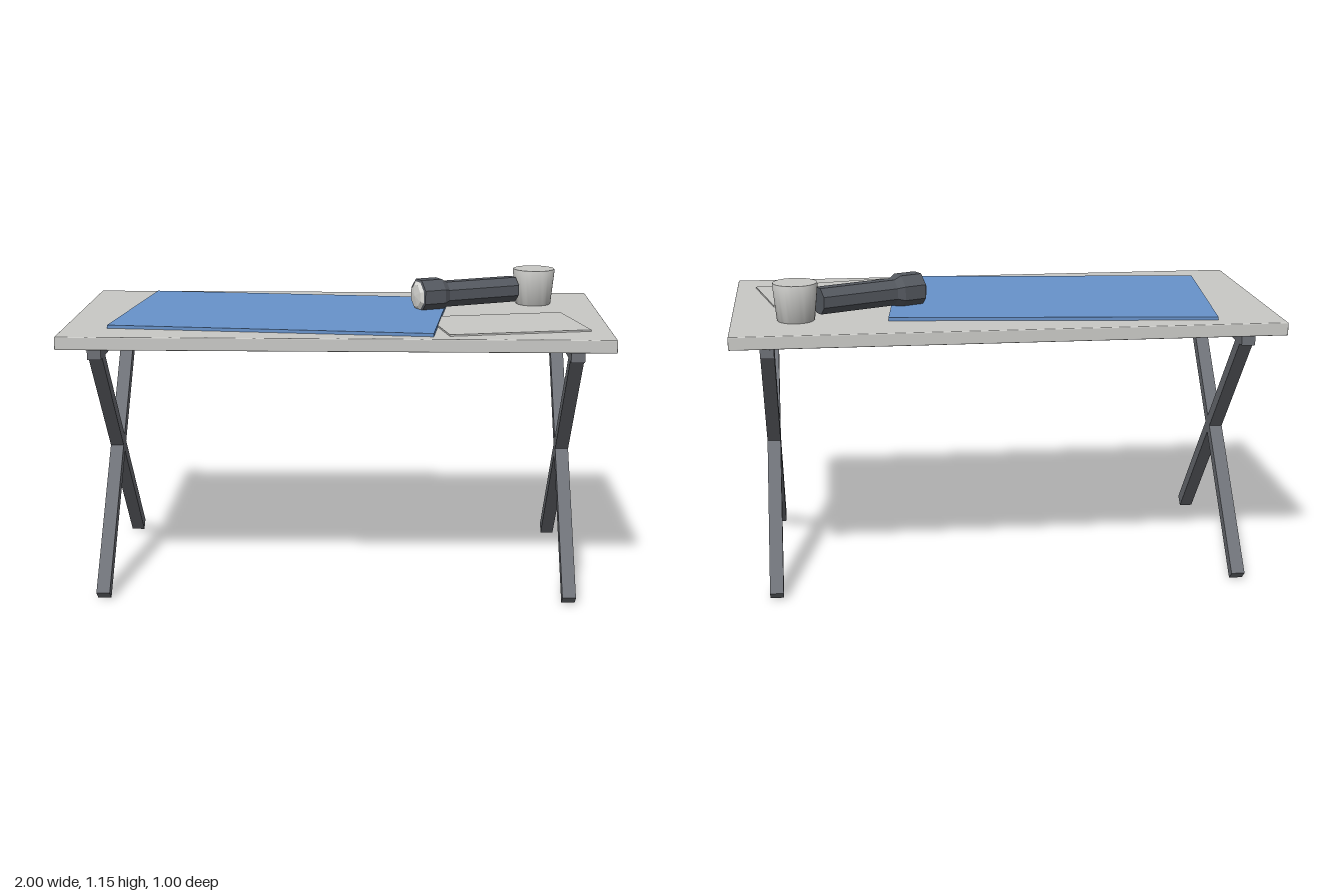
import * as THREE from 'three';
import { RoundedBoxGeometry } from 'three/addons/geometries/RoundedBoxGeometry.js';
import { toCreasedNormals } from 'three/addons/utils/BufferGeometryUtils.js';

function material(name, color) {
  const m = new THREE.MeshStandardMaterial({ color });
  m.name = name;
  return m;
}

function addMesh(parent, name, geometry, mat, x = 0, y = 0, z = 0) {
  const mesh = new THREE.Mesh(geometry, mat);
  mesh.name = name;
  mesh.position.set(x, y, z);
  parent.add(mesh);
  return mesh;
}

function lathe(points, segments, phiStart = 0) {
  return new THREE.LatheGeometry(points.map(([r, y]) => new THREE.Vector2(r, y)), segments, phiStart);
}

export function createModel() {
  const model = new THREE.Group();
  model.name = 'foldingTable';
  const pale = material('pale grey', 0xc9c9c6);
  const steel = material('steel grey', 0x6e7177);
  const dark = material('dark grey', 0x54585f);
  const blue = material('mat blue', 0x6893cb);
  const glass = material('lens white', 0xdcdcd8);

  // Tabletop
  const top = 1.016;
  addMesh(model, 'tabletop', new RoundedBoxGeometry(2, 0.048, 1, 2, 0.004), pale, 0, top - 0.024, 0);

  // Crossed legs with a rail under the top, at each end
  const legLength = 1.287, legAngle = Math.atan2(0.433, 0.476);
  for (const side of [-1, 1]) {
    const frame = new THREE.Group();
    frame.name = side > 0 ? 'leftLegFrame' : 'rightLegFrame';
    frame.position.x = side * 0.868;
    model.add(frame);
    addMesh(frame, 'topRail', new THREE.BoxGeometry(0.05, 0.046, 0.9), steel, 0, 0.946, 0);
    for (const lean of [-1, 1]) {
      const leg = addMesh(frame, lean > 0 ? 'legLeaningForward' : 'legLeaningBack',
        new THREE.BoxGeometry(0.05, legLength, 0.046), steel, 0, 0.494, 0);
      leg.rotation.x = lean * legAngle;
    }
  }

  // Desk mat, and the paper tucked under its edge
  const mat = addMesh(model, 'deskMat', new THREE.BoxGeometry(1.197, 0.012, 0.764), blue, -0.2025, top + 0.006, 0.0125);
  mat.rotation.y = -0.105;
  const paper = addMesh(model, 'paper', new THREE.BoxGeometry(0.527, 0.006, 0.363), pale, 0.63, top + 0.003, 0.2125);
  paper.rotation.y = 0.21;

  // Cup: tapered solid with a softened rim
  const cup = lathe([[0, 0], [0.067, 0], [0.069, 0.003], [0.082, 0.133], [0.08, 0.139], [0, 0.139]], 40);
  addMesh(model, 'cup', toCreasedNormals(cup, 0.6), pale, 0.765, top, -0.25);

  // Torch: eight-sided, lying with its lens towards the mat
  const torch = new THREE.Group();
  torch.name = 'torch';
  torch.position.set(0.303, 1.079, -0.045);
  torch.rotation.y = 0.434;
  model.add(torch);
  const faceted = (points) => {
    const g = lathe(points, 8, Math.PI / 8).toNonIndexed();
    g.rotateZ(-Math.PI / 2);
    g.computeVertexNormals();
    return g;
  };
  addMesh(torch, 'torchHead', faceted([[0.056, 0], [0.067, 0.004], [0.067, 0.09], [0.052, 0.115]]), dark);
  addMesh(torch, 'torchBody', faceted([[0.052, 0.1], [0.052, 0.418], [0, 0.418]]), dark);
  addMesh(torch, 'torchLens', faceted([[0, -0.014], [0.045, -0.009], [0.058, 0.001]]), glass);

  return model;
}
